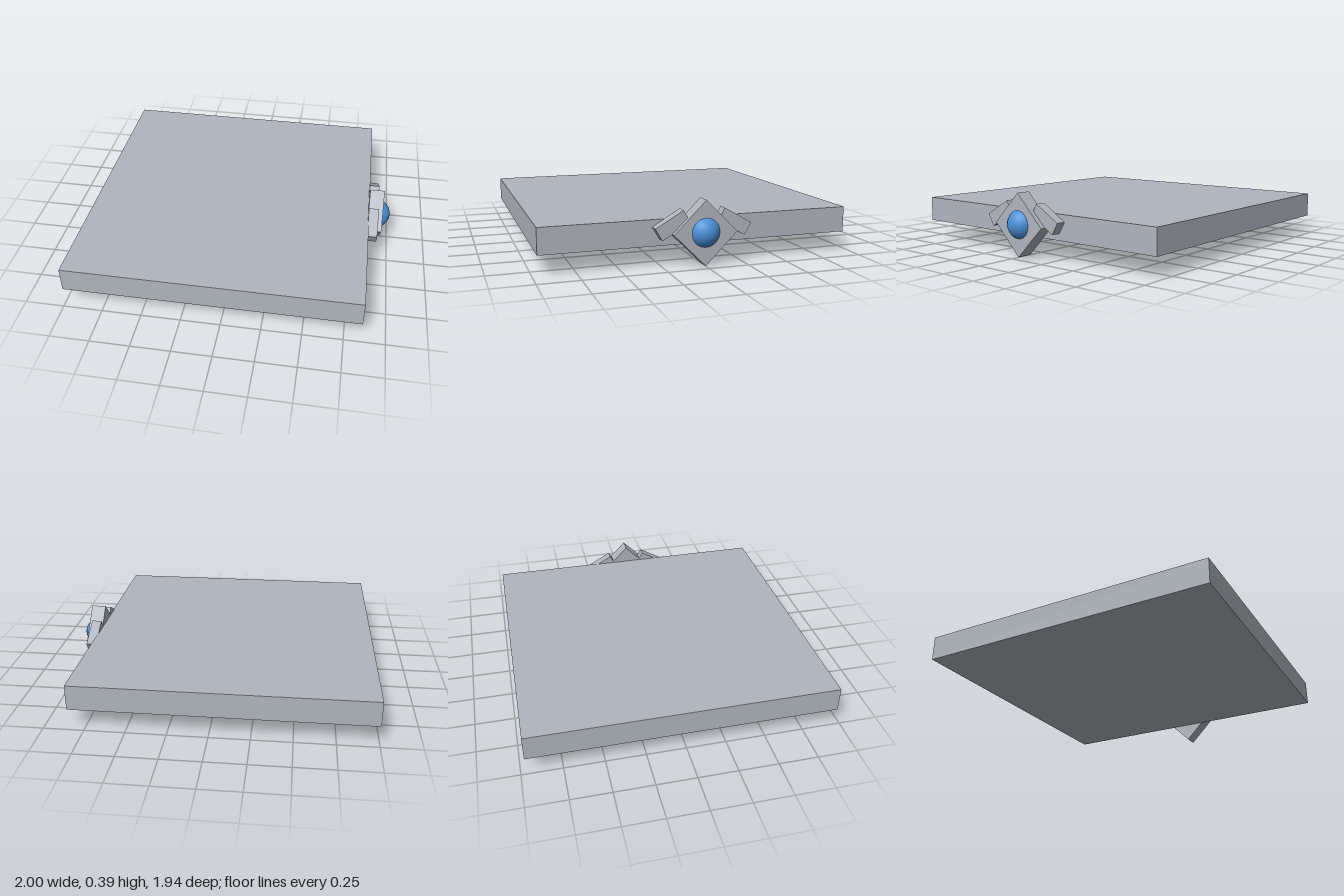
import * as THREE from 'three';

export function createModel() {
  const group = new THREE.Group();
  const grey = new THREE.MeshStandardMaterial({ color: 0xb0b5be });
  grey.name = 'paleGrey';
  const blue = new THREE.MeshStandardMaterial({ color: 0x4a90d9 });
  blue.name = 'blue';

  const add = (name, geometry, material, x, y, z, tilt = 0) => {
    const mesh = new THREE.Mesh(geometry, material);
    mesh.name = name;
    mesh.position.set(x, y, z);
    mesh.rotation.x = tilt;
    group.add(mesh);
  };

  // Flat slab
  add('slab', new THREE.BoxGeometry(1.855, 0.16, 1.94), grey, -0.0725, 0.2, 0);

  // Diamond mount on the side edge
  add('diamondMount', new THREE.BoxGeometry(0.095, 0.279, 0.279), grey, 0.8975, 0.197, 0, Math.PI / 4);

  // Round gem set into the mount
  add('gem', new THREE.SphereGeometry(0.097, 24, 16), blue, 0.903, 0.2, 0);

  // Mirrored wings sloping down away from the mount
  for (const side of [1, -1]) {
    const name = side > 0 ? 'frontWing' : 'backWing';
    add(name, new THREE.BoxGeometry(0.065, 0.085, 0.198), grey, 0.8825, 0.249, side * 0.1935, side * Math.PI / 6);
  }

  return group;
}
